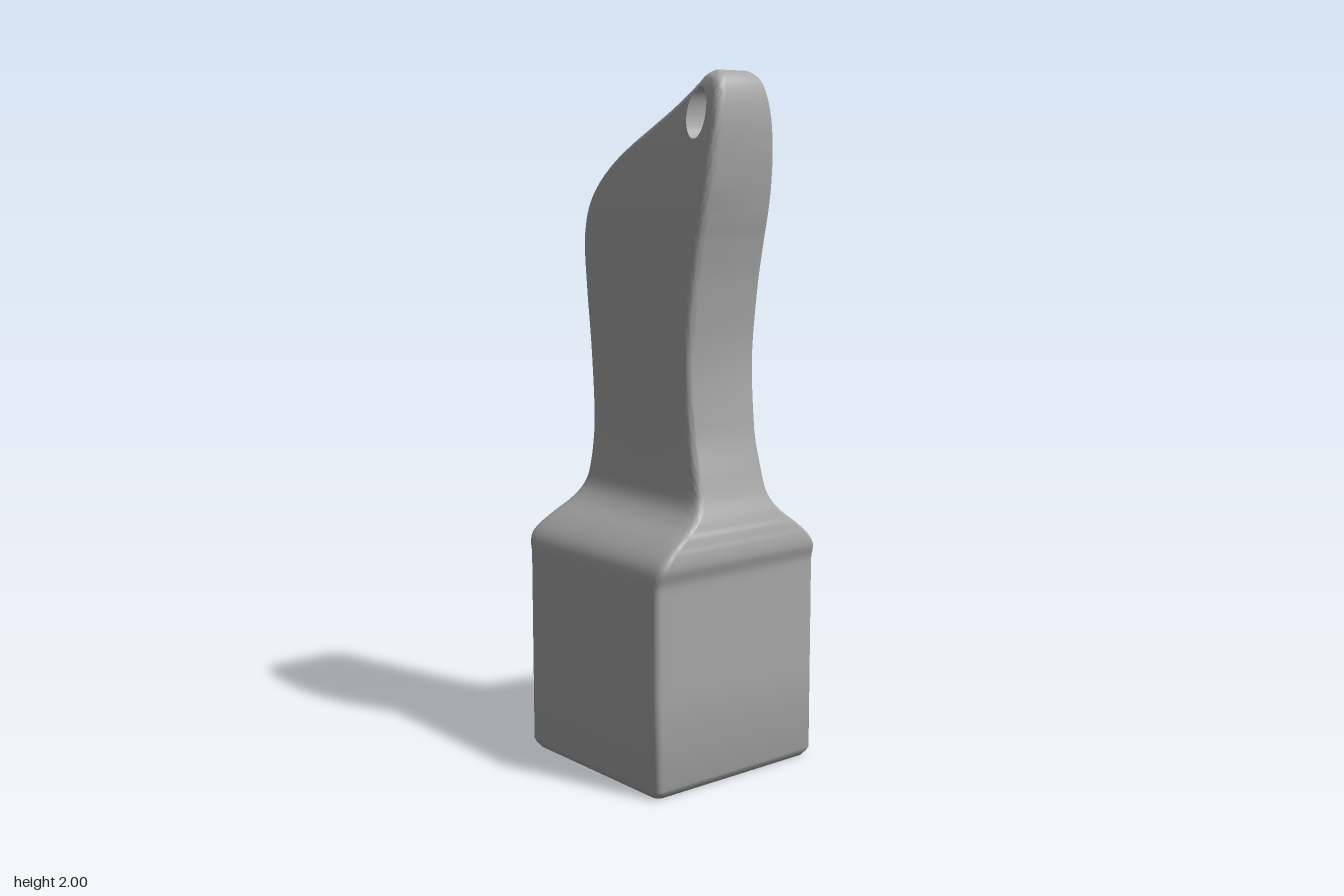
import * as THREE from 'three';
import { toCreasedNormals } from 'three/addons/utils/BufferGeometryUtils.js';

const SEAM = 1.55;   // height where the lofted body meets the pierced tip
const R = 0.022;     // edge rounding
const ARC = 5;       // steps per rounded edge
const SPAN = 16;     // steps across a face
const HOLE = { x: 0.23, y: 1.885, rx: 0.037, ry: 0.07 };

// Smooth monotone interpolation through [y, value] pairs
function profile(p) {
  const s = p.slice(1).map((q, i) => (q[1] - p[i][1]) / (q[0] - p[i][0]));
  const m = p.map((_, i) => {
    const a = s[Math.max(i - 1, 0)], b = s[Math.min(i, s.length - 1)];
    return a * b > 0 ? 2 * a * b / (a + b) : 0;
  });
  return (y) => {
    let i = 0;
    while (i < p.length - 2 && y > p[i + 1][0]) i++;
    const h = p[i + 1][0] - p[i][0];
    const t = THREE.MathUtils.clamp((y - p[i][0]) / h, 0, 1), u = 1 - t;
    return p[i][1] * (1 + 2 * t) * u * u + p[i + 1][1] * t * t * (3 - 2 * t)
      + h * m[i] * t * u * u - h * m[i + 1] * t * t * u;
  };
}

const leftEdge = profile([[0, -0.29], [0.025, -0.305], [0.6, -0.305], [0.66, -0.318], [0.7, -0.302],
  [0.76, -0.27], [0.82, -0.25], [0.9, -0.235], [1, -0.228], [1.2, -0.238], [1.4, -0.258], [1.5, -0.265], [SEAM, -0.262]]);
const rightEdge = profile([[0, 0.28], [0.025, 0.295], [0.6, 0.295], [0.66, 0.31], [0.7, 0.308], [0.76, 0.298],
  [0.82, 0.278], [0.9, 0.258], [1, 0.236], [1.2, 0.222], [1.4, 0.24], [SEAM, 0.268]]);
const depth = profile([[0, 0.285], [0.025, 0.3], [0.62, 0.3], [0.65, 0.293], [0.68, 0.273], [0.72, 0.228],
  [0.76, 0.175], [0.8, 0.143], [0.84, 0.132], [1, 0.128], [1.4, 0.133], [1.6, 0.135], [1.75, 0.128],
  [1.87, 0.114], [1.95, 0.096], [1.98, 0.085], [2, 0.07]]);

// Half thickness, gently bowed across the grip
const halfDepth = (x, y) => depth(y)
  * (1 - 0.08 * THREE.MathUtils.smoothstep(y, 0.72, 1) * ((x - 0.02) / 0.28) ** 2);

const arcSteps = Array.from({ length: ARC + 1 }, (_, k) => {
  const a = k / ARC * Math.PI / 2;
  return { inset: R * (1 - Math.cos(a)), drop: R * (1 - Math.sin(a)) };
});

function quad(index, a, b, c, d) { index.push(a, b, d, b, c, d); }

// Square base, shoulder and grip, lofted from rounded rectangles
function addBody(pos, index) {
  const ys = [0, 0.006, 0.014, 0.025, 0.3, 0.58];
  for (let y = 0.6; y < 0.899; y += 0.0125) ys.push(y);
  for (let k = 0; k <= 20; k++) ys.push(0.9 + (SEAM - 0.9) * k / 20);
  let n = 0;
  for (const y of ys) {
    const l = leftEdge(y), r = rightEdge(y), front = [];
    for (const s of arcSteps) front.push([l + s.inset, halfDepth(l + s.inset, y) - s.drop]);
    for (let i = 1; i < SPAN; i++) {
      const x = l + R + (r - l - 2 * R) * i / SPAN;
      front.push([x, halfDepth(x, y)]);
    }
    for (const s of [...arcSteps].reverse()) front.push([r - s.inset, halfDepth(r - s.inset, y) - s.drop]);
    const ring = [...front, ...[...front].reverse().map(([x, z]) => [x, -z])];
    n = ring.length;
    for (const [x, z] of ring) pos.push(x, y, z);
  }
  for (let k = 0; k < ys.length - 1; k++) {
    for (let j = 0; j < n; j++) {
      const j2 = (j + 1) % n;
      quad(index, k * n + j, k * n + j2, (k + 1) * n + j2, (k + 1) * n + j);
    }
  }
  const centre = pos.length / 3;
  pos.push(0, 0, 0);
  for (let j = 0; j < n; j++) index.push(centre, (j + 1) % n, j);
}

// Slanted tip: sections swept round the hanging hole
function addTip(pos, index) {
  const l = leftEdge(SEAM), r = rightEdge(SEAM);
  const outline = [[r, SEAM], [0.28, 1.6], [0.3, 1.7], [0.312, 1.8], [0.315, 1.87], [0.31, 1.93], [0.298, 1.97],
    [0.278, 1.992], [0.25, 2], [0.228, 1.99], [0.208, 1.967], [0.13, 1.905], [0.05, 1.856], [-0.04, 1.805],
    [-0.12, 1.754], [-0.185, 1.7], [-0.226, 1.65], [-0.25, 1.6], [l, SEAM]];
  const curve = new THREE.CatmullRomCurve3(outline.map(([x, y]) => new THREE.Vector3(x, y, 0)));
  const N = 110, M = 12;
  const rim = [];
  for (let i = 0; i <= N; i++) {
    const p = curve.getPointAt(i / N), t = curve.getTangentAt(i / N);
    const end = i === 0 ? [-1, 0] : i === N ? [1, 0] : [-t.y, t.x];
    rim.push({ x: p.x, y: p.y, nx: end[0], ny: end[1], seam: false });
  }
  for (let i = 0; i <= SPAN; i++) {
    rim.push({ x: l + R + (r - l - 2 * R) * i / SPAN, y: SEAM, nx: 0, ny: 0, seam: true });
  }
  const start = pos.length / 3, n = 2 * (ARC + M + 1);
  for (const p of rim) {
    const front = arcSteps.map((s) => {
      const x = p.x + p.nx * s.inset, y = p.y + p.ny * s.inset;
      return [x, y, halfDepth(x, y) - (p.seam ? 0 : s.drop)];
    });
    const [ex, ey] = front[ARC];
    const a = Math.atan2((ey - HOLE.y) / HOLE.ry, (ex - HOLE.x) / HOLE.rx);
    const hx = HOLE.x + HOLE.rx * Math.cos(a), hy = HOLE.y + HOLE.ry * Math.sin(a);
    for (let j = 1; j <= M; j++) {
      const x = ex + (hx - ex) * j / M, y = ey + (hy - ey) * j / M;
      front.push([x, y, halfDepth(x, y)]);
    }
    for (const q of front) pos.push(...q);
    for (const q of front.reverse()) pos.push(q[0], q[1], -q[2]);
  }
  for (let i = 0; i < rim.length; i++) {
    const i2 = (i + 1) % rim.length, open = rim[i].seam || rim[i2].seam;
    for (let j = 0; j < n; j++) {
      // no rounded edge or wall along the seam
      if (open && (j < ARC || j >= n - 1 - ARC)) continue;
      const j2 = (j + 1) % n, a = start + i * n, b = start + i2 * n;
      quad(index, a + j, b + j, b + j2, a + j2);
    }
  }
}

export function createModel() {
  const pos = [], index = [];
  addBody(pos, index);
  addTip(pos, index);
  const geometry = new THREE.BufferGeometry();
  geometry.setAttribute('position', new THREE.Float32BufferAttribute(pos, 3));
  geometry.setIndex(index);

  const grey = new THREE.MeshStandardMaterial({ color: 0xa8a8a8 });
  grey.name = 'grey';
  const handle = new THREE.Mesh(toCreasedNormals(geometry, 0.8), grey);
  handle.name = 'handle';

  const group = new THREE.Group();
  group.name = 'piercedHandle';
  group.add(handle);
  return group;
}
